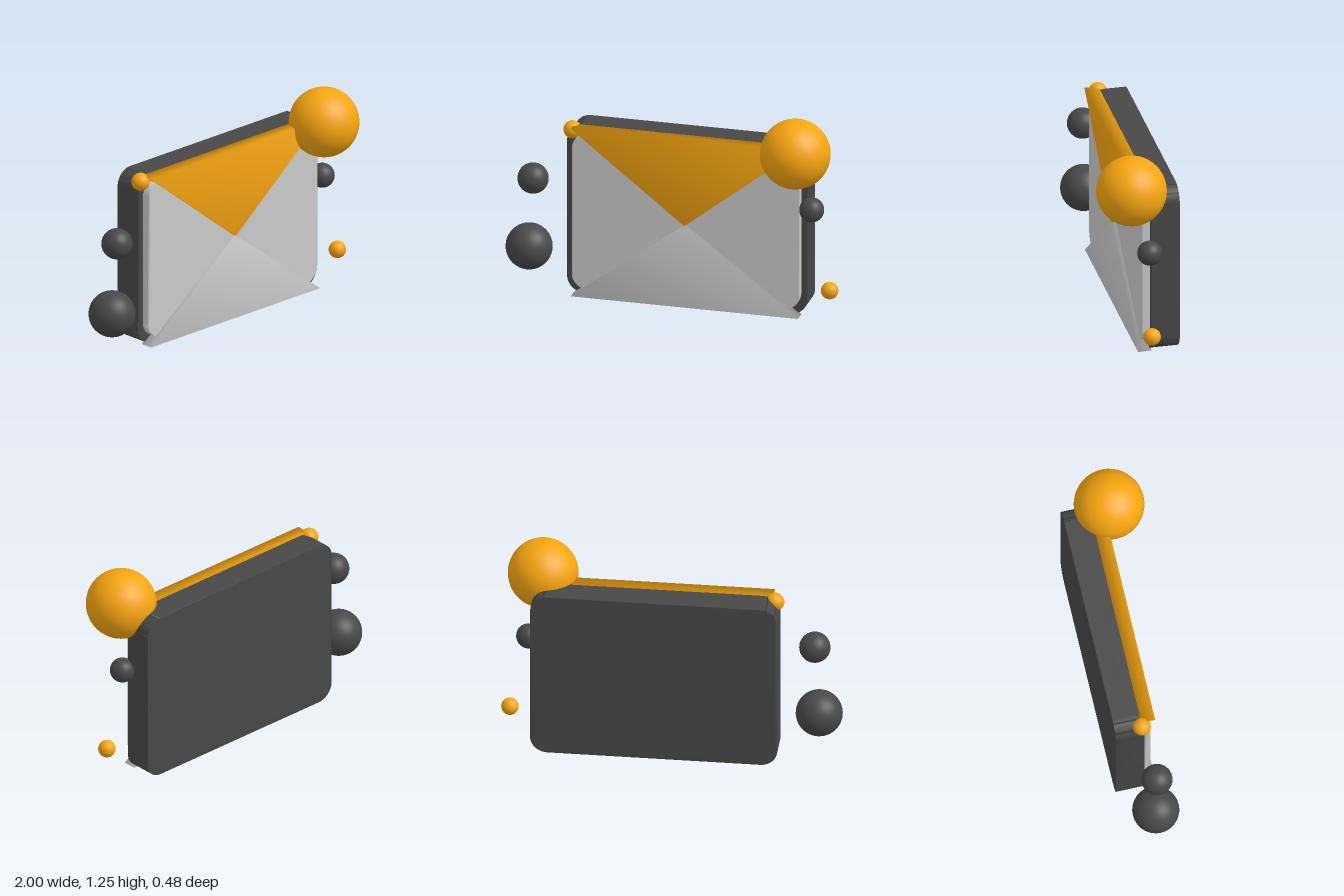
import * as THREE from 'three';
import { mergeVertices } from 'three/addons/utils/BufferGeometryUtils.js';

const grey = new THREE.MeshStandardMaterial({ color: 0xcccccc });
const dark = new THREE.MeshStandardMaterial({ color: 0x484848 });
const orange = new THREE.MeshStandardMaterial({ color: 0xf6a50f });

// Extrude a shape between two depths, with normals shared across its edges
function slab(shape, zBack, zFront) {
  const g = new THREE.ExtrudeGeometry(shape, {
    depth: zFront - zBack, bevelEnabled: false, curveSegments: 10,
  });
  g.translate(0, 0, zBack);
  g.deleteAttribute('normal');
  g.deleteAttribute('uv');
  const soft = mergeVertices(g, 1e-4);
  soft.computeVertexNormals();
  return soft;
}

function roundedRect(x0, y0, x1, y1, r) {
  const s = new THREE.Shape();
  s.absarc(x1 - r, y0 + r, r, -Math.PI / 2, 0);
  s.absarc(x1 - r, y1 - r, r, 0, Math.PI / 2);
  s.absarc(x0 + r, y1 - r, r, Math.PI / 2, Math.PI);
  s.absarc(x0 + r, y0 + r, r, Math.PI, Math.PI * 1.5);
  s.closePath();
  return s;
}

function triangle(...points) {
  return new THREE.Shape(points.map(([x, y]) => new THREE.Vector2(x, y)));
}

export function createModel() {
  const model = new THREE.Group();
  model.name = 'envelope';

  const add = (name, geometry, material) => {
    const mesh = new THREE.Mesh(geometry, material);
    mesh.name = name;
    model.add(mesh);
    return mesh;
  };

  // Envelope body and the paler panel on its front
  add('body', slab(roundedRect(-0.64, 0.002, 0.805, 1.048, 0.1), -0.24, -0.07), dark);
  add('frontPanel', slab(roundedRect(-0.6, 0.043, 0.767, 1.01, 0.09), -0.072, -0.026), grey);

  // Two triangular flaps that meet at one point
  const tip = [0.083, 0.511];
  add('topFlap', slab(triangle([-0.6, 1.05], tip, [0.766, 1.05]), -0.08, 0.002), orange);
  add('bottomFlap', slab(triangle([-0.6, 0], [0.766, 0], tip), -0.08, 0), grey);

  // Balls around the envelope: name, x, y, z, radius, material
  const balls = [
    ['badgeBall', 0.76, 1.048, 0.038, 0.206, orange],
    ['cornerBall', -0.61, 1.014, -0.08, 0.053, orange],
    ['lowerLeftBall', 0.945, 0.181, -0.042, 0.051, orange],
    ['upperLeftBall', 0.834, 0.67, -0.054, 0.073, dark],
    ['upperRightBall', -0.837, 0.7, -0.042, 0.091, dark],
    ['lowerRightBall', -0.864, 0.267, -0.055, 0.137, dark],
  ];
  for (const [name, x, y, z, r, material] of balls) {
    add(name, new THREE.SphereGeometry(r, 40, 28), material).position.set(x, y, z);
  }

  return model;
}
